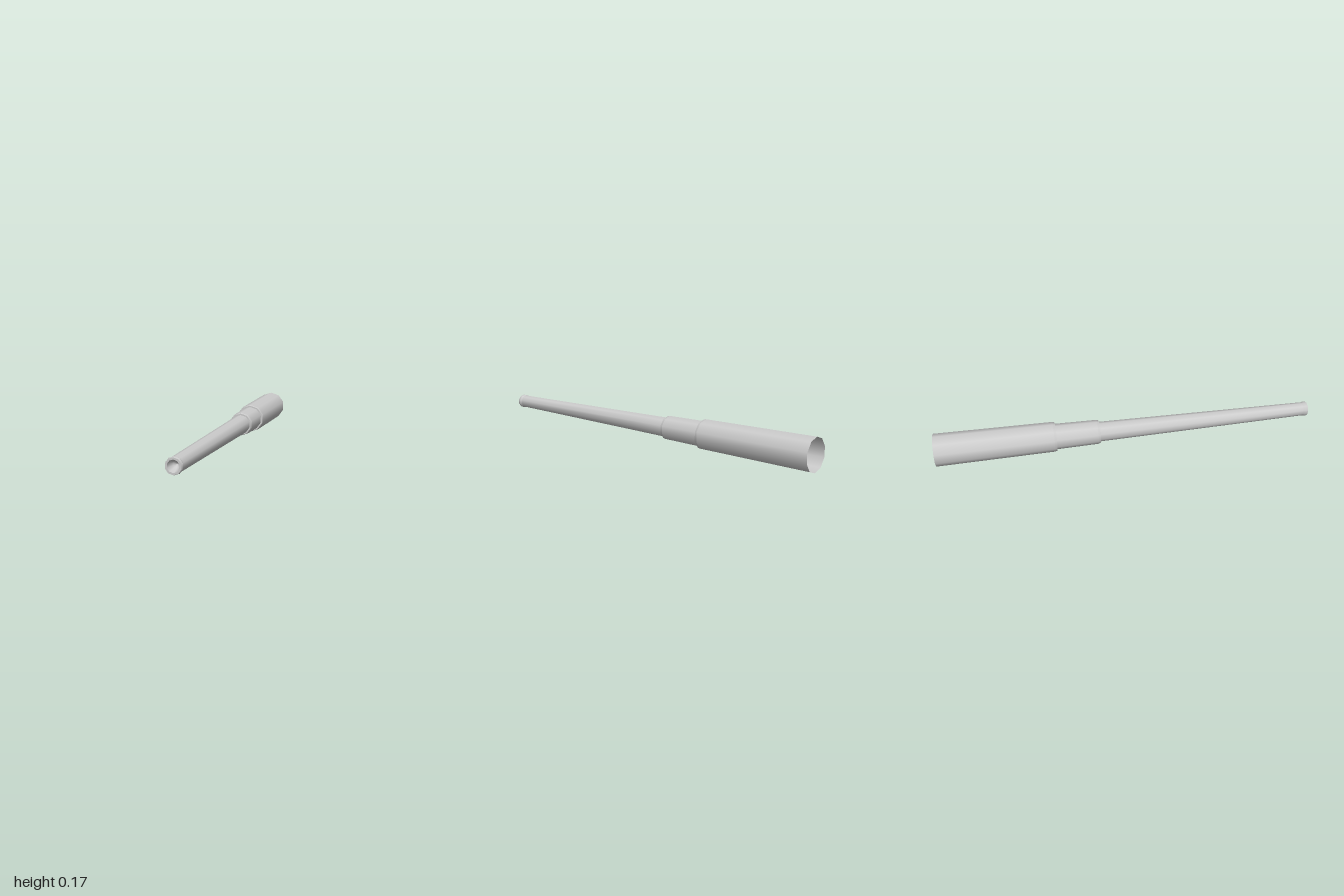
import * as THREE from 'three';

const SIDES = 10;
const AXIS_HEIGHT = 0.085;

export function createModel() {
  const group = new THREE.Group();
  group.name = 'telescopingTube';
  const material = new THREE.MeshStandardMaterial({ color: 0xcccccc, side: THREE.DoubleSide });

  // Each part is a list of [z, radius] rings from back to front;
  // every band is its own lathe, so the edges between bands stay sharp.
  function addPart(name, rings) {
    const part = new THREE.Group();
    part.name = name;
    for (let i = 0; i < rings.length - 1; i++) {
      const profile = [rings[i], rings[i + 1]].map(([z, r]) => new THREE.Vector2(r, z));
      const band = new THREE.LatheGeometry(profile, SIDES);
      band.rotateX(Math.PI / 2);
      const mesh = new THREE.Mesh(band, material);
      mesh.name = name + 'Band' + (i + 1);
      part.add(mesh);
    }
    part.position.y = AXIS_HEIGHT;
    group.add(part);
  }

  // Wide rear tube, open at the back, with a bevelled shoulder
  addPart('rearTube', [[-1, 0.0845], [-0.39, 0.078], [-0.378, 0.075], [-0.378, 0.067]]);

  // Short middle tube with a bevelled shoulder
  addPart('middleTube', [[-0.378, 0.067], [-0.16, 0.0635], [-0.147, 0.06], [-0.147, 0.052]]);

  // Long slender front tube
  addPart('frontTube', [[-0.147, 0.052], [0.975, 0.036]]);

  // Flared lip at the front end
  addPart('frontLip', [[0.975, 0.036], [0.988, 0.0395], [1, 0.037], [1, 0.028]]);

  // Concave recess inside the lip
  const recess = [[1, 0.028], [0.975, 0.024], [0.955, 0.015], [0.945, 0]];
  const bowl = new THREE.LatheGeometry(recess.map(([z, r]) => new THREE.Vector2(r, z)), SIDES);
  bowl.rotateX(Math.PI / 2);
  const eyepiece = new THREE.Mesh(bowl, material);
  eyepiece.name = 'frontRecess';
  eyepiece.position.y = AXIS_HEIGHT;
  group.add(eyepiece);

  return group;
}
